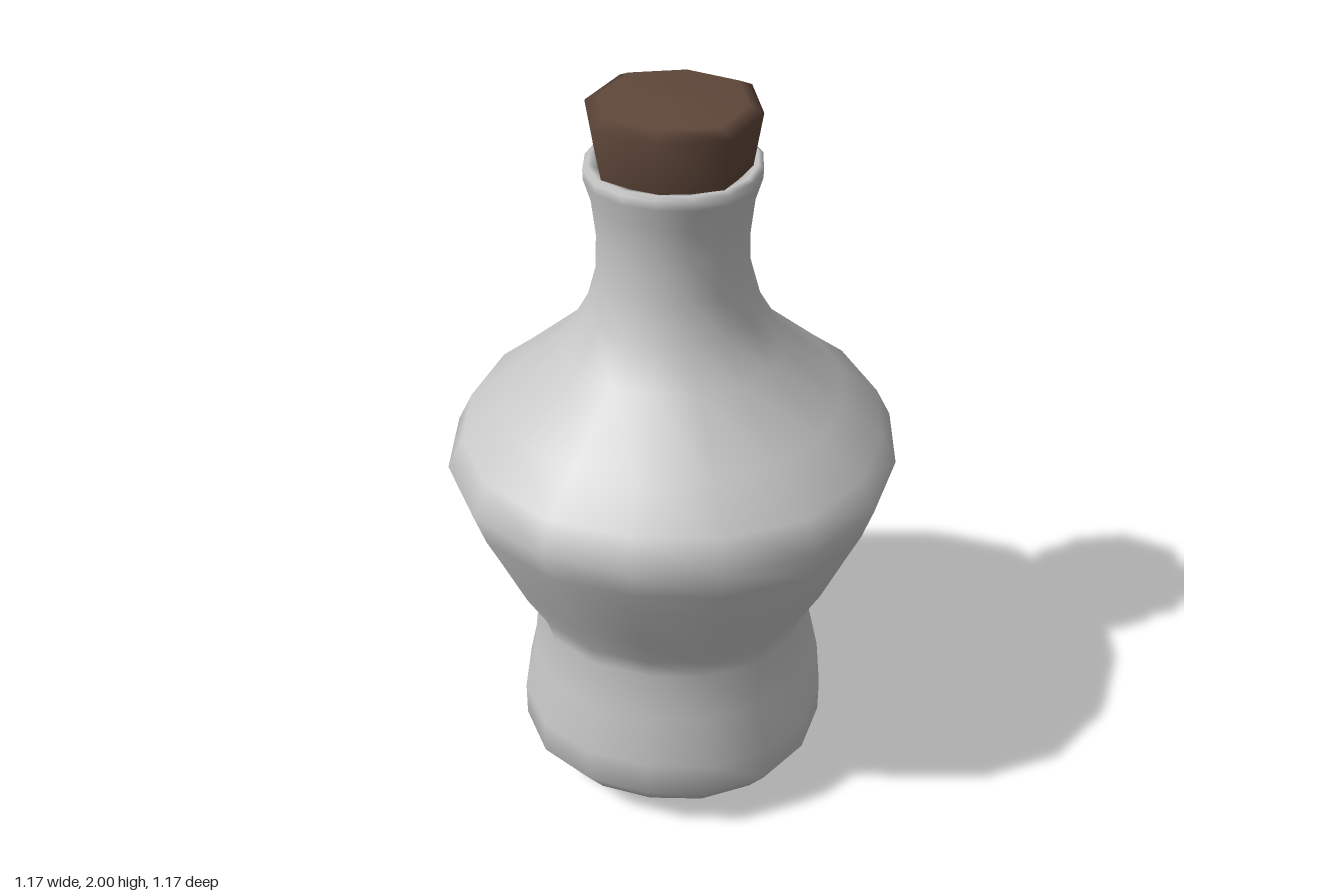
import * as THREE from 'three';

// Lathe whose rings bulge slightly on the diagonals, like a smoothed square cage
function turned(name, profile, sides, bulge, material) {
  const points = profile.map(([r, y]) => new THREE.Vector2(r, y));
  const geometry = new THREE.LatheGeometry(points, sides);
  const pos = geometry.attributes.position;
  for (let i = 0; i < pos.count; i++) {
    const x = pos.getX(i), z = pos.getZ(i);
    const k = 1 + bulge * Math.sin(2 * Math.atan2(x, z)) ** 2;
    pos.setX(i, x * k);
    pos.setZ(i, z * k);
  }
  const mesh = new THREE.Mesh(geometry, material);
  mesh.name = name;
  return mesh;
}

export function createModel() {
  const glass = new THREE.MeshStandardMaterial({ name: 'pale grey glass', color: 0xc6c6c6 });
  const corkBrown = new THREE.MeshStandardMaterial({ name: 'cork brown', color: 0x5f473a });
  const group = new THREE.Group();
  group.name = 'corkedBottle';

  // Body: rounded base, pinched waist, wide shoulder, flared neck and inner lip
  group.add(turned('bottleBody', [
    [0, 0], [0.2, 0.02], [0.36, 0.07], [0.42, 0.15], [0.42, 0.25],
    [0.39, 0.39], [0.375, 0.53], [0.39, 0.59], [0.45, 0.70], [0.515, 0.85],
    [0.555, 0.94], [0.585, 1.03], [0.545, 1.11], [0.44, 1.2], [0.28, 1.345],
    [0.22, 1.45], [0.193, 1.55], [0.19, 1.66], [0.2, 1.75], [0.218, 1.81],
    [0.218, 1.835], [0.205, 1.843], [0.18, 1.835], [0.17, 1.78],
  ], 16, 0.035, glass));

  // Cork: tapered eight-sided plug with a softened top edge
  group.add(turned('cork', [
    [0, 1.76], [0.175, 1.76], [0.193, 1.84], [0.215, 1.975],
    [0.18, 1.993], [0, 2.0],
  ], 8, 0.07, corkBrown));

  return group;
}
